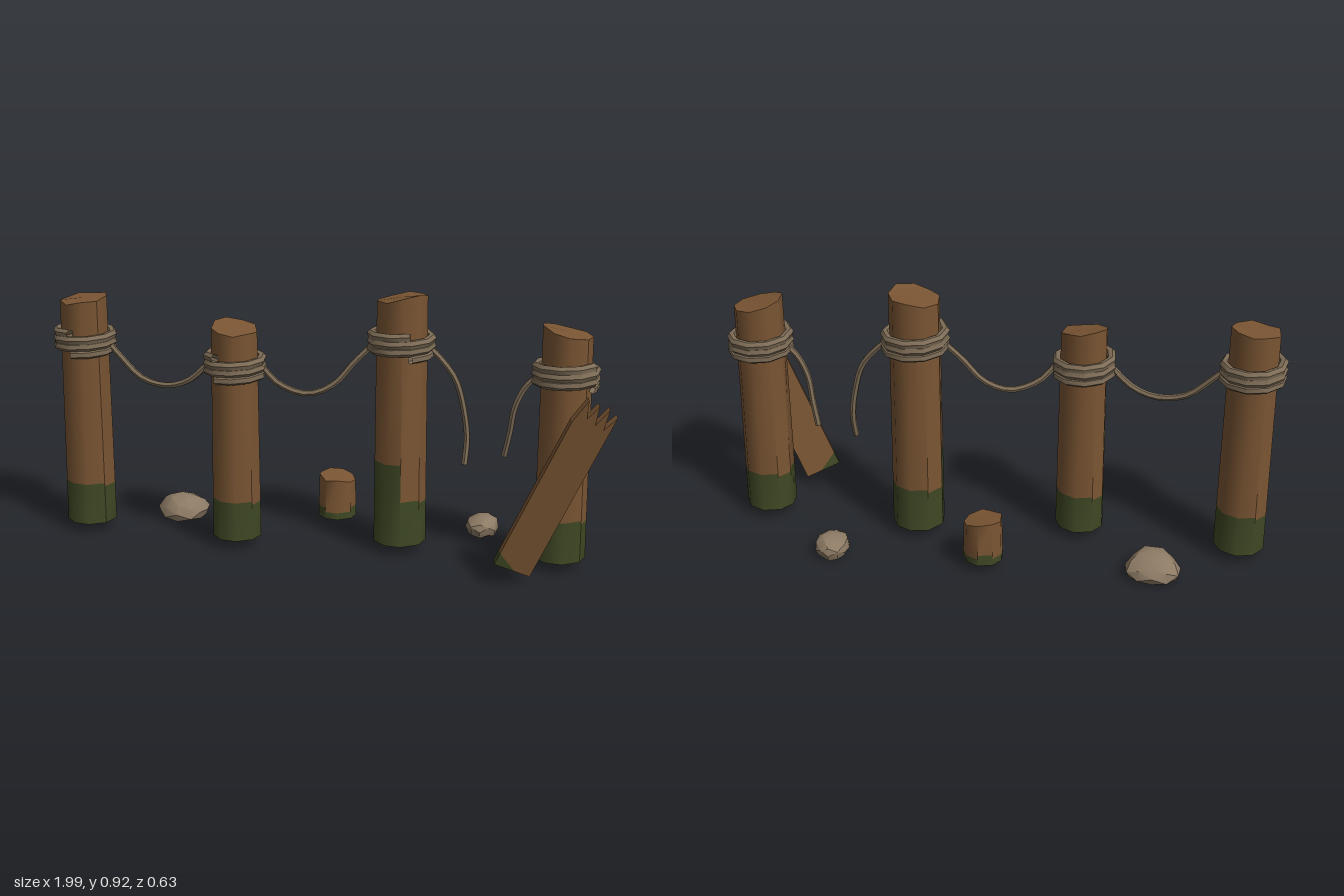
import * as THREE from 'three';
import { toCreasedNormals } from 'three/addons/utils/BufferGeometryUtils.js';

const SIDES = 9;
const deg = THREE.MathUtils.degToRad;
const mat = (name, color, side = THREE.FrontSide) => {
  const m = new THREE.MeshStandardMaterial({ color, side });
  m.name = name;
  return m;
};

function makeRandom(seed) {
  return () => {
    seed = (seed * 16807) % 2147483647;
    return seed / 2147483647;
  };
}

// Rough log standing on y = base: sloped top, mossy foot with a stepped upper edge.
function logGeometry({ r, rBase, base, top, slopeX, slopeZ, moss, seed, rough = 0.008 }) {
  const rand = makeRandom(seed);
  const corners = [];
  for (let i = 0; i < SIDES; i++) {
    const a = deg(13) + (i / SIDES) * Math.PI * 2 + (rand() - 0.5) * 0.09;
    const x = Math.sin(a) * r, z = Math.cos(a) * r;
    corners.push({ a, top: top + slopeX * x + slopeZ * z + (rand() - 0.5) * 2 * rough });
  }
  const at = (c, y) => {
    const radius = THREE.MathUtils.lerp(rBase, r, (y - base) / (top - base));
    return [Math.sin(c.a) * radius, y, Math.cos(c.a) * radius];
  };
  const wood = [], green = [];
  const quad = (out, c0, c1, y0, t0, t1) => {
    const bl = at(c0, y0), br = at(c1, y0), tr = at(c1, t1), tl = at(c0, t0);
    out.push(...bl, ...br, ...tr, ...bl, ...tr, ...tl);
  };
  for (let i = 0; i < SIDES; i++) {
    const c0 = corners[i], c1 = corners[(i + 1) % SIDES], edge = moss(i);
    quad(wood, c0, c1, edge, c0.top, c1.top);
    quad(green, c0, c1, base, edge, edge);
    wood.push(0, top, 0, ...at(c0, c0.top), ...at(c1, c1.top));
    green.push(0, base, 0, ...at(c1, base), ...at(c0, base));
  }
  const g = new THREE.BufferGeometry();
  g.setAttribute('position', new THREE.Float32BufferAttribute([...wood, ...green], 3));
  g.addGroup(0, wood.length / 3, 0);
  g.addGroup(wood.length / 3, green.length / 3, 1);
  return toCreasedNormals(g, deg(42));
}

const ropeGeometry = (points, segments, radius) => toCreasedNormals(
  new THREE.TubeGeometry(new THREE.CatmullRomCurve3(points), segments, radius, 6), deg(50));

// Three turns of rope climbing around a post
function coilGeometry(radius, y, startDeg) {
  const points = [];
  for (let i = 0; i <= 3 * 10; i++) {
    const a = deg(startDeg) + (i / 10) * Math.PI * 2;
    points.push(new THREE.Vector3(Math.sin(a) * radius, y + (i / 10) * 0.025, Math.cos(a) * radius));
  }
  return ropeGeometry(points, 30, 0.0155);
}

// Faceted pebble with a flat underside
function rockGeometry(w, h, d, seed) {
  const g = new THREE.IcosahedronGeometry(1, 1);
  const p = g.attributes.position;
  for (let i = 0; i < p.count; i++) {
    const x = p.getX(i), y = p.getY(i), z = p.getZ(i);
    const k = 1 + 0.09 * Math.sin(x * 3.1 + seed) * Math.cos(z * 2.7 - seed) + 0.05 * Math.sin(y * 4 + seed * 2);
    p.setXYZ(i, x * k * w / 2, Math.max(0, (y * k + 0.5) / 1.5) * h, z * k * d / 2);
  }
  return toCreasedNormals(g, deg(30));
}

export function createModel() {
  const group = new THREE.Group();
  const wood = mat('weathered wood', 0x7a5533);
  const moss = mat('moss', 0x3f4824);
  const rope = mat('rope', 0x7d6c56, THREE.DoubleSide);
  const stone = mat('stone', 0x8c7a64);
  const add = (name, geometry, material, x = 0, y = 0, z = 0) => {
    const m = new THREE.Mesh(geometry, material);
    m.name = name;
    m.position.set(x, y, z);
    group.add(m);
    return m;
  };

  // Posts with their rope coils
  const posts = [
    { x: -0.885, z: -0.037, r: 0.083, rBase: 0.089, top: 0.852, slopeX: 0.12, slopeZ: -0.05, foot: 0.185, coilY: 0.665, start: -12, seed: 11 },
    { x: -0.32, z: 0.033, r: 0.08, rBase: 0.086, top: 0.785, slopeX: -0.1, slopeZ: -0.12, foot: 0.175, coilY: 0.615, start: -30, seed: 23 },
    { x: 0.25, z: -0.03, r: 0.088, rBase: 0.093, top: 0.9, slopeX: 0.14, slopeZ: 0, foot: 0.198, high: 0.33, coilY: 0.705, start: 25, seed: 37 },
    { x: 0.81, z: 0.03, r: 0.085, rBase: 0.09, top: 0.818, slopeX: -0.27, slopeZ: 0, foot: 0.182, coilY: 0.637, start: 65, seed: 41 },
  ];
  posts.forEach((p, n) => {
    const edge = (i) => (p.high && i >= 6 ? p.high : p.foot + (i % 4 === 1 ? -0.012 : 0));
    add(`post${n + 1}`, logGeometry({ ...p, base: 0.035, moss: edge }), [wood, moss], p.x, 0, p.z);
    add(`ropeCoil${n + 1}`, coilGeometry(p.r + 0.0155, p.coilY, p.start), rope, p.x, 0, p.z);
  });

  // Broken stump behind the fence
  add('stump', logGeometry({
    r: 0.066, rBase: 0.07, base: 0.035, top: 0.185, slopeX: -0.13, slopeZ: -0.05, seed: 5,
    moss: (i) => (i % 3 === 1 ? 0.075 : 0.06),
  }), [wood, moss], -0.013, 0, -0.245);

  // Sagging and torn ropes
  const ropes = {
    saggingRopeLow: [[-0.79, 0.69, -0.025], [-0.75, 0.65, -0.018], [-0.67, 0.58, -0.004], [-0.575, 0.56, 0.01], [-0.49, 0.585, 0.022], [-0.41, 0.655, 0.032]],
    saggingRopeHigh: [[-0.225, 0.65, 0.03], [-0.17, 0.59, 0.02], [-0.07, 0.555, 0.005], [0.02, 0.59, -0.008], [0.09, 0.67, -0.018], [0.155, 0.735, -0.027]],
    tornRopeRight: [[0.345, 0.73, -0.03], [0.38, 0.7, -0.025], [0.44, 0.625, -0.015], [0.475, 0.5, -0.008], [0.484, 0.42, -0.004], [0.479, 0.335, 0.012]],
    tornRopeLeft: [[0.72, 0.665, 0.025], [0.68, 0.625, 0.022], [0.645, 0.55, 0.018], [0.63, 0.46, 0.01], [0.612, 0.37, 0]],
  };
  for (const [name, pts] of Object.entries(ropes)) {
    add(name, ropeGeometry(pts.map((v) => new THREE.Vector3(...v)), 14, 0.011), rope);
  }

  // Leaning plank with a splintered end and one mossy corner
  const along = new THREE.Vector3(0.26, 0.57, 0.045).normalize();
  const out = new THREE.Vector3(0.12, -0.055, -0.04).cross(along).normalize();
  const across = new THREE.Vector3().crossVectors(along, out);
  const plank = new THREE.Group();
  plank.name = 'brokenPlank';
  const slab = (name, pts, material) => {
    const shape = new THREE.Shape(pts.map(([x, y]) => new THREE.Vector2(x, y)));
    const m = new THREE.Mesh(new THREE.ExtrudeGeometry(shape, { depth: 0.027, bevelEnabled: false }), material);
    m.name = name;
    plank.add(m);
  };
  slab('plankBoard', [[0.075, 0], [0.13, 0], [0.13, 0.63], [0.107, 0.575], [0.095, 0.645], [0.075, 0.58],
    [0.058, 0.645], [0.04, 0.59], [0.018, 0.65], [0, 0.565], [0, 0.045]], wood);
  slab('plankMoss', [[0, 0], [0.075, 0], [0, 0.045]], moss);
  plank.matrixAutoUpdate = true;
  plank.quaternion.setFromRotationMatrix(new THREE.Matrix4().makeBasis(across, along, out));
  plank.position.set(0.607, 0.083, 0.243);
  group.add(plank);

  // Rocks
  add('largeRock', rockGeometry(0.19, 0.088, 0.18, 1.3), stone, -0.595, 0, -0.22);
  add('smallRock', rockGeometry(0.12, 0.074, 0.145, 3.1), stone, 0.52, 0, -0.243);

  return group;
}
